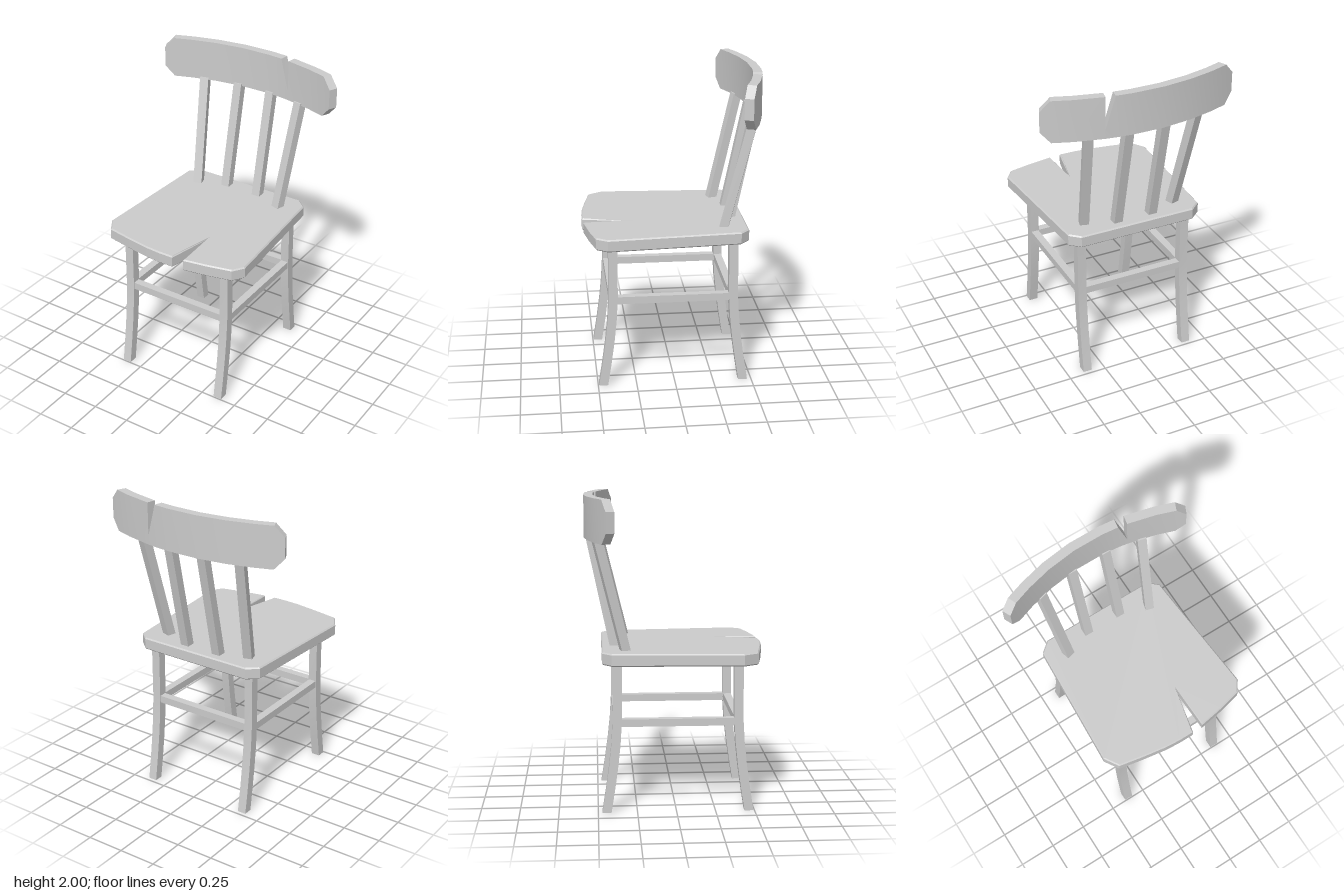
import * as THREE from 'three';
import { toCreasedNormals } from 'three/addons/utils/BufferGeometryUtils.js';

const material = new THREE.MeshStandardMaterial({ color: 0xcccccc });

function addMesh(parent, name, geometry) {
  const mesh = new THREE.Mesh(geometry, material);
  mesh.name = name;
  parent.add(mesh);
  return mesh;
}

function box(parent, name, size, position) {
  addMesh(parent, name, new THREE.BoxGeometry(...size)).position.set(...position);
}

// Skin a list of four-cornered loops and cap both ends
function skin(loops) {
  const p = [];
  const quad = (a, b, c, d) => p.push(...a, ...b, ...c, ...a, ...c, ...d);
  for (let i = 0; i < loops.length - 1; i++) {
    for (let j = 0; j < 4; j++) {
      const k = (j + 1) % 4;
      quad(loops[i][j], loops[i][k], loops[i + 1][k], loops[i + 1][j]);
    }
  }
  const first = loops[0], last = loops[loops.length - 1];
  quad(first[3], first[2], first[1], first[0]);
  quad(last[0], last[1], last[2], last[3]);
  const g = new THREE.BufferGeometry();
  g.setAttribute('position', new THREE.Float32BufferAttribute(p, 3));
  return toCreasedNormals(g, 0.5);
}

// Horizontal square section, turned about y
function squareLoop(x, y, z, w, yaw = 0) {
  const c = Math.cos(yaw), s = Math.sin(yaw), h = w / 2;
  return [[-h, h], [h, h], [h, -h], [-h, -h]].map(([u, v]) => [x + u * c + v * s, y, z - u * s + v * c]);
}

// Seat slab with clipped corners, bowed front and a split
function seatGeometry() {
  const outline = [
    [-0.455, -0.41], [-0.385, -0.468], [0.395, -0.468], [0.46, -0.41], [0.522, 0.43], [0.472, 0.502],
    [0.32, 0.537], [0.155, 0.565], [0.147, 0.26], [0.08, 0.572], [-0.02, 0.572], [-0.12, 0.565],
    [-0.28, 0.54], [-0.44, 0.51], [-0.5, 0.415],
  ];
  const shape = new THREE.Shape(outline.map(([x, z]) => new THREE.Vector2(x, -z)));
  const bevel = 0.008;
  const g = new THREE.ExtrudeGeometry(shape, {
    depth: 0.08 - 2 * bevel, bevelThickness: bevel, bevelSize: bevel, bevelOffset: -bevel, bevelSegments: 1,
  });
  g.translate(0, 0, bevel);
  g.rotateX(-Math.PI / 2);
  g.translate(0, 0.96, 0);
  return g;
}

// Curved top rail from upright sections: [x, bottom, top]
function railGeometry() {
  const columns = [
    [-0.63, 1.8, 1.93], [-0.57, 1.73, 2], [-0.45, 1.73, 2], [-0.29, 1.73, 2], [-0.1, 1.73, 2], [0.1, 1.73, 2],
    [0.207, 1.73, 2], [0.267, 1.73, 1.79], [0.267, 1.73, 2], [0.45, 1.73, 2], [0.57, 1.73, 2], [0.63, 1.8, 1.93],
  ];
  return skin(columns.map(([x, lo, hi]) => {
    const bend = Math.atan(0.75 * x), z = -0.548 + 0.34 * x * x;
    const dx = -0.029 * Math.sin(bend), dz = 0.029 * Math.cos(bend);
    return [[x + dx, lo, z + dz], [x - dx, lo, z - dz], [x - dx, hi, z - dz], [x + dx, hi, z + dz]];
  }));
}

export function createModel() {
  const chair = new THREE.Group();
  chair.name = 'chair';
  addMesh(chair, 'seat', seatGeometry());
  addMesh(chair, 'topRail', railGeometry());

  // Legs: straight above the stretchers, sweeping outward below
  const sweep = [[0, 0.465], [0.15, 0.441], [0.3, 0.42], [0.45, 0.404], [0.6, 0.395], [0.97, 0.393]];
  for (const sx of [-1, 1]) {
    for (const sz of [-1, 1]) {
      const shift = sz > 0 ? 0 : -0.02;
      const loops = sweep.map(([y, z]) => squareLoop(sx * 0.365, y, sz * (z + shift), 0.058));
      addMesh(chair, sz > 0 ? 'frontLeg' : 'backLeg', skin(loops));
    }
    box(chair, 'sideStretcher', [0.05, 0.048, 0.75], [sx * 0.365, 0.585, 0.01]);
  }
  box(chair, 'frontStretcher', [0.72, 0.048, 0.05], [0, 0.585, 0.395]);
  box(chair, 'backStretcher', [0.72, 0.048, 0.05], [0, 0.585, -0.375]);

  // Leaning back spindles: bottom x, bottom z, top x, top z, turn
  for (const [x0, z0, x1, z1, yaw] of [
    [-0.312, -0.318, -0.367, -0.492, 0.27], [-0.125, -0.385, -0.125, -0.535, 0],
    [0.117, -0.385, 0.117, -0.535, 0], [0.312, -0.318, 0.357, -0.492, -0.27],
  ]) {
    addMesh(chair, 'spindle', skin([squareLoop(x0, 1.03, z0, 0.058, yaw), squareLoop(x1, 1.745, z1, 0.058, yaw)]));
  }
  return chair;
}
